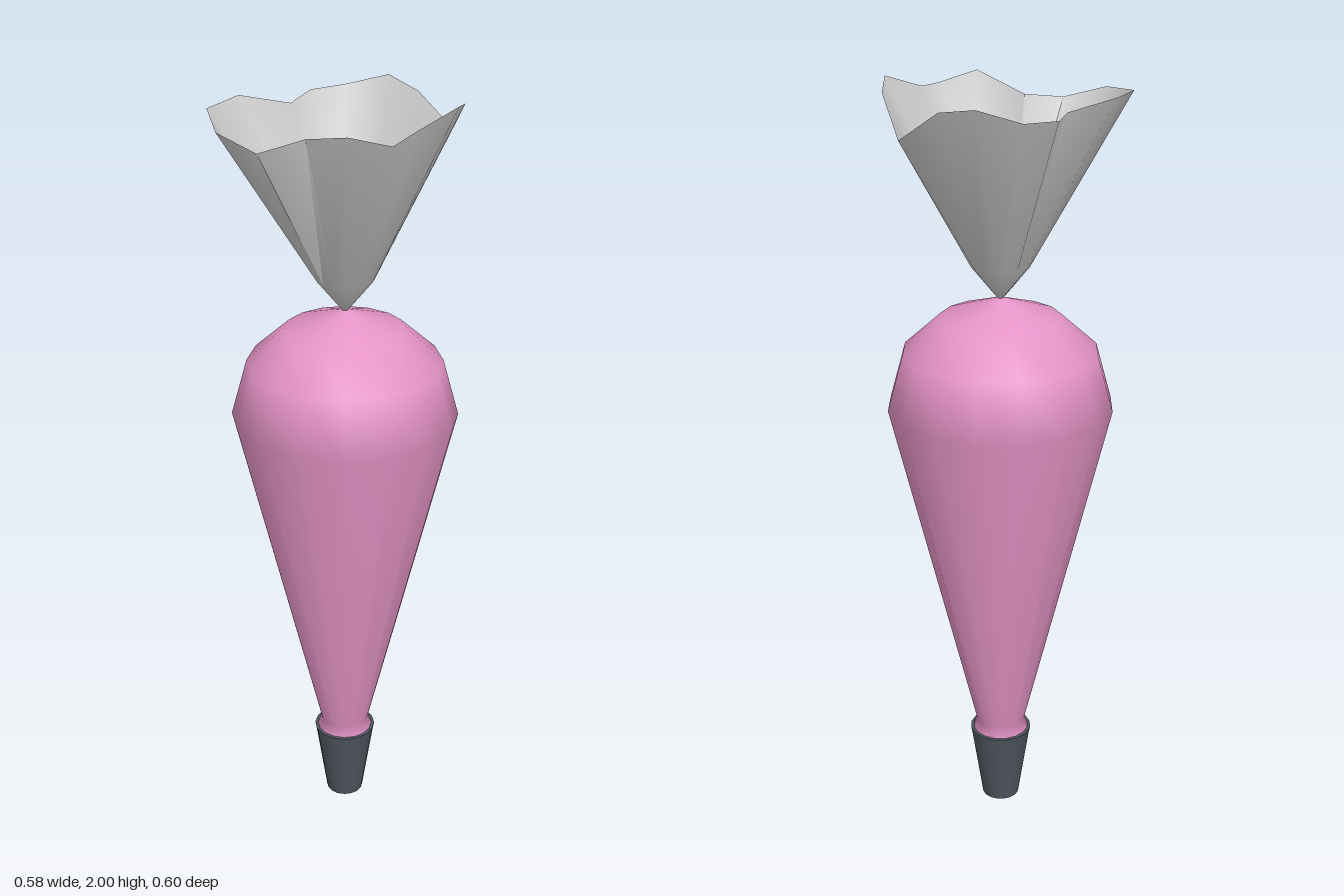
import * as THREE from 'three';
import { toCreasedNormals } from 'three/addons/utils/BufferGeometryUtils.js';

const SIDES = 16;
const AXIS_Z = -0.01;

const pink = new THREE.MeshStandardMaterial({ color: 0xe493c6 });
pink.name = 'pink filling';
const paper = new THREE.MeshStandardMaterial({ color: 0xd0d0d0, side: THREE.DoubleSide });
paper.name = 'pale grey film';
const steel = new THREE.MeshStandardMaterial({ color: 0x4e565e });
steel.name = 'dark steel';

function lathe(points) {
  return new THREE.LatheGeometry(points.map(([r, y]) => new THREE.Vector2(r, y)), SIDES);
}

function addPart(group, name, geometry, material) {
  const mesh = new THREE.Mesh(geometry, material);
  mesh.name = name;
  group.add(mesh);
  return mesh;
}

// Pleated open end: two round rings at the knot, then an uneven rim
function ruffleGeometry() {
  const rim = [ // x, y, z, from the front round through +x
    [0, 1.915, 0.27], [0.043, 1.935, 0.159], [0.202, 1.975, 0.18], [0.26, 1.95, 0.097],
    [0.236, 1.96, -0.007], [0.26, 2, -0.12], [0.2, 1.98, -0.209], [0.107, 1.89, -0.271],
    [0, 1.965, -0.26], [-0.109, 1.985, -0.268], [-0.2, 1.955, -0.21], [-0.236, 1.95, -0.12],
    [-0.189, 1.945, -0.01], [-0.26, 1.97, 0.095], [-0.234, 1.965, 0.218], [-0.109, 1.948, 0.298],
  ];
  const ring = (r, y) => rim.map((_, i) => {
    const a = (i / SIDES) * Math.PI * 2;
    return [Math.sin(a) * r, y, Math.cos(a) * r + AXIS_Z];
  });
  const rings = [ring(0.006, 1.46), ring(0.074, 1.545), rim];
  const index = [];
  for (let j = 0; j < rings.length - 1; j++) {
    for (let i = 0; i < SIDES; i++) {
      const n = (i + 1) % SIDES;
      const a = j * SIDES + i, b = j * SIDES + n, c = b + SIDES, d = a + SIDES;
      index.push(a, b, c, a, c, d);
    }
  }
  const geometry = new THREE.BufferGeometry();
  geometry.setAttribute('position', new THREE.Float32BufferAttribute(rings.flat(2), 3));
  geometry.setIndex(index);
  geometry.computeVertexNormals();
  return toCreasedNormals(geometry, 1.2);
}

export function createModel() {
  const model = new THREE.Group();
  model.name = 'pipingBag';

  // Filled bag with a small flare where it enters the nozzle
  const bag = lathe([
    [0.078, 0.205], [0.066, 0.245], [0.29, 1.178], [0.249, 1.326], [0.155, 1.411], [0, 1.465],
  ]);
  addPart(model, 'filledBag', bag, pink).position.z = AXIS_Z;

  // Hollow tapered nozzle, from the inner wall round to the top lip
  const nozzle = toCreasedNormals(lathe([
    [0.034, 0.05], [0.032, 0], [0.05, 0], [0.08, 0.2], [0.083, 0.215], [0.066, 0.216],
  ]), 0.6);
  addPart(model, 'nozzle', nozzle, steel).position.z = AXIS_Z;

  // Filling seen in the nozzle mouth
  const plug = addPart(model, 'nozzleFilling', new THREE.CircleGeometry(0.036, SIDES), pink);
  plug.rotation.x = Math.PI / 2;
  plug.position.set(0, 0.03, AXIS_Z);

  addPart(model, 'ruffledEnd', ruffleGeometry(), paper);
  return model;
}
